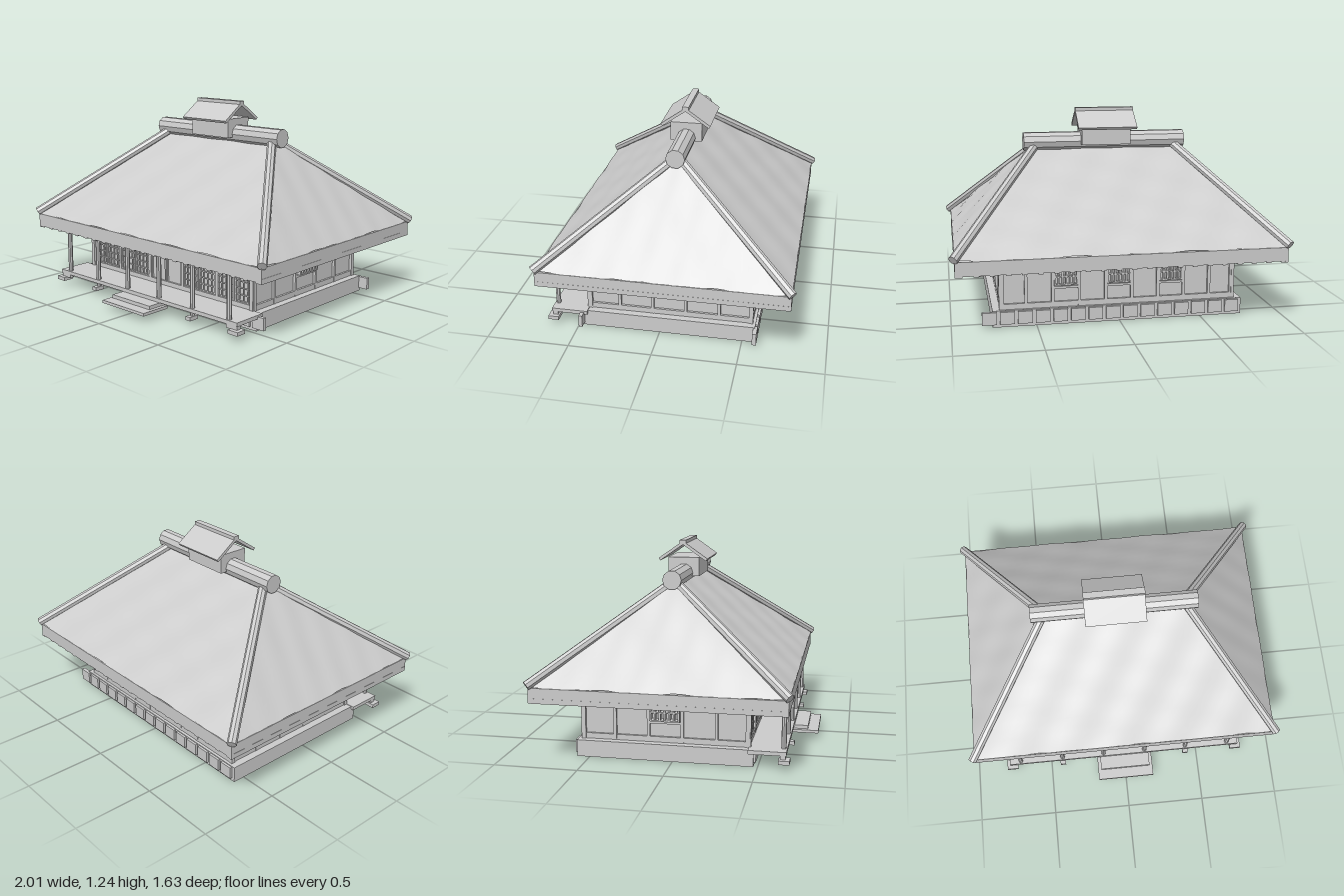
import * as THREE from 'three';

export function createModel() {
  const model = new THREE.Group();
  model.name = 'thatchedFarmhouse';
  const clay = new THREE.MeshStandardMaterial({ color: 0xcccccc });
  clay.name = 'pale grey';

  const group = (name, parent = model) => {
    const g = new THREE.Group();
    g.name = name;
    parent.add(g);
    return g;
  };
  const add = (name, geo, parent = model) => {
    const m = new THREE.Mesh(geo, clay);
    m.name = name;
    parent.add(m);
    return m;
  };
  // box given by its limits on each axis
  const box = (name, x0, x1, y0, y1, z0, z1, parent = model) => {
    const m = add(name, new THREE.BoxGeometry(x1 - x0, y1 - y0, z1 - z0), parent);
    m.position.set((x0 + x1) / 2, (y0 + y1) / 2, (z0 + z1) / 2);
    return m;
  };
  // faceted round beam between two points
  const beam = (name, a, b, r, sides, parent = model) => {
    const d = b.clone().sub(a);
    const geo = new THREE.CylinderGeometry(r, r, d.length(), sides).toNonIndexed();
    geo.computeVertexNormals();
    const m = add(name, geo, parent);
    m.position.copy(a).add(b).multiplyScalar(0.5);
    m.quaternion.setFromUnitVectors(new THREE.Vector3(0, 1, 0), d.normalize());
    return m;
  };
  const V = (x, y, z) => new THREE.Vector3(x, y, z);

  // Plinth with a row of skirting boards on front and back
  box('plinth', -0.76, 0.76, 0, 0.1, -0.575, 0.475);
  const skirting = group('skirting');
  for (let i = 0; i < 15; i++) {
    const x = -0.74 + i * 0.1055;
    box('skirtingBoard', x, x + 0.085, 0.02, 0.095, 0.465, 0.487, skirting);
    box('skirtingBoard', x, x + 0.085, 0.02, 0.095, -0.59, -0.565, skirting);
  }

  // Wall core
  box('wallCore', -0.7, 0.7, 0.1, 0.38, -0.543, 0.435);

  // A framed wall in its own plane: x along the wall, z outwards
  function wall(name, length, bays, windowBays, reach) {
    const g = group(name);
    const half = length / 2, pitch = length / bays, post = 0.009;
    box('sill', -half, half, 0.1, 0.133, -0.01, 0.014, g);
    box('lintel', -half, half, 0.342, 0.38, -0.01, 0.014, g);
    for (let i = 0; i <= bays; i++) {
      const x = THREE.MathUtils.clamp(-half + i * pitch, -half + post, half - post);
      box('wallPost', x - post, x + post, 0.1, 0.38, -0.01, 0.016, g);
    }
    for (const b of windowBays) {
      const c = -half + (b + 0.5) * pitch, w = pitch * 0.42;
      box('windowRail', c - pitch / 2, c + pitch / 2, 0.212, 0.226, -0.01, 0.014, g);
      const win = group('latticeWindow', g);
      for (let i = 0; i < 7; i++) {
        const x = c - w + (i * 2 * w) / 6;
        box('windowBar', x - 0.005, x + 0.005, 0.232, 0.342, 0, reach - 0.004, win);
      }
      for (const y of [0.232, 0.282, 0.334])
        box('windowCrossbar', c - w, c + w, y, y + 0.008, 0, reach, win);
    }
    return g;
  }
  for (const s of [1, -1]) {
    const side = wall(s > 0 ? 'leftWall' : 'rightWall', 1.012, 5, [2], 0.042);
    side.position.set(s * 0.7, 0, -0.05);
    side.rotation.y = s * Math.PI / 2;
  }
  const back = wall('backWall', 1.44, 9, [2, 4, 6], 0.024);
  back.position.z = -0.543;
  back.rotation.y = Math.PI;

  // Front: plain doors in the middle, paper lattice screens on both sides
  const front = wall('frontWall', 1.44, 5, [], 0);
  front.position.z = 0.435;
  for (let bay = 0; bay < 5; bay++) {
    for (const half of [0, 1]) {
      const x0 = -0.708 + bay * 0.2845 + half * 0.137, x1 = x0 + 0.132;
      const leaf = group(bay === 2 ? 'door' : 'latticeScreen', front);
      for (const x of [x0, x1 - 0.01]) box('leafStile', x, x + 0.01, 0.13, 0.345, 0, 0.01, leaf);
      if (bay === 2) continue;
      for (let i = 1; i < 4; i++) {
        const x = x0 + i * 0.033;
        box('latticeBar', x - 0.003, x + 0.003, 0.133, 0.342, 0, 0.008, leaf);
      }
      for (let i = 0; i < 6; i++) {
        const y = 0.136 + i * 0.04;
        box('latticeRail', x0, x1, y, y + 0.006, 0, 0.008, leaf);
      }
    }
  }

  // Veranda with posts on footing stones, and entrance steps
  box('verandaFloor', -0.78, 0.78, 0.082, 0.105, 0.445, 0.665);
  const posts = group('verandaPosts');
  [-0.705, -0.42, -0.14, 0.14, 0.42, 0.705].forEach((x, i) => {
    beam('verandaPost', V(x, 0.06, 0.645), V(x, 0.38, 0.645), 0.015, 8, posts);
    const corner = i === 0 || i === 5;
    const c = corner ? Math.sign(x) * 0.765 : x, w = corner ? 0.036 : 0.018;
    box('footingStone', c - w, c + w, 0.037, 0.06, 0.62, 0.685, posts);
    if (corner) box('footingBrace', Math.min(x, c) - 0.01, Math.max(x, c) + 0.01, 0.058, 0.083, 0.63, 0.66, posts);
  });
  box('upperStep', -0.165, 0.165, 0.06, 0.082, 0.62, 0.75);
  box('lowerStep', -0.185, 0.185, 0.04, 0.058, 0.62, 0.815);

  // Eaves slab and the rafters beneath it
  box('eaves', -0.972, 0.972, 0.377, 0.46, -0.79, 0.69);
  for (const s of [1, -1]) {
    box('eavesSideEdge', s * 0.963 - 0.01, s * 0.963 + 0.01, 0.37, 0.4, -0.79, 0.69);
  }
  const rafters = group('rafters');
  for (let i = 0; i < 22; i++) {
    const x = -0.945 + i * 0.09;
    box('rafter', x - 0.014, x + 0.014, 0.37, 0.38, -0.788, 0.688, rafters);
  }

  // Gently rippled thatch slope between eave corners a, b and ridge corners c, d
  function slope(name, a, b, c, d) {
    const geo = new THREE.PlaneGeometry(1, 1, 32, 16);
    const p = geo.attributes.position;
    for (let i = 0; i < p.count; i++) {
      const u = p.getX(i) + 0.5, v = p.getY(i) + 0.5;
      const q = a.clone().lerp(b, u).lerp(d.clone().lerp(c, u), v);
      q.y += 0.004 * Math.sin(q.x * 19 + q.z * 13) + 0.003 * Math.sin(q.x * 9 - q.z * 31);
      p.setXYZ(i, q.x, q.y, q.z);
    }
    geo.computeVertexNormals();
    add(name, geo);
  }
  const E = 0.972, R = 0.47, yE = 0.462, yR = 1.0, zF = 0.69, zB = -0.79, zR = -0.05;
  const rl = V(-R, yR, zR), rr = V(R, yR, zR);
  slope('frontThatch', V(-E, yE, zF), V(E, yE, zF), rr, rl);
  slope('backThatch', V(E, yE, zB), V(-E, yE, zB), rl, rr);
  slope('leftThatch', V(E, yE, zF), V(E, yE, zB), rr, rr);
  slope('rightThatch', V(-E, yE, zB), V(-E, yE, zF), rl, rl);

  // Hip beams and ridge log
  for (const sx of [1, -1]) {
    for (const sz of [1, -1]) {
      beam('hipBeam', V(sx * 0.98, 0.474, zR + sz * 0.745), V(sx * 0.45, 1.0, zR + sz * 0.025), 0.028, 8);
    }
  }
  beam('ridgeLog', V(-0.515, 1.032, zR), V(0.515, 1.032, zR), 0.058, 10);

  // Smoke vent with its small gable roof
  box('ventBox', -0.155, 0.155, 1.012, 1.13, zR - 0.098, zR + 0.098);
  for (const s of [1, -1]) {
    const panel = add('ventRoof', new THREE.BoxGeometry(0.37, 0.018, 0.182));
    panel.position.set(0, 1.17, zR + s * 0.075);
    panel.rotation.x = s * 0.61;
  }
  box('ventRidgeCap', -0.185, 0.185, 1.21, 1.24, zR - 0.02, zR + 0.02);

  return model;
}
